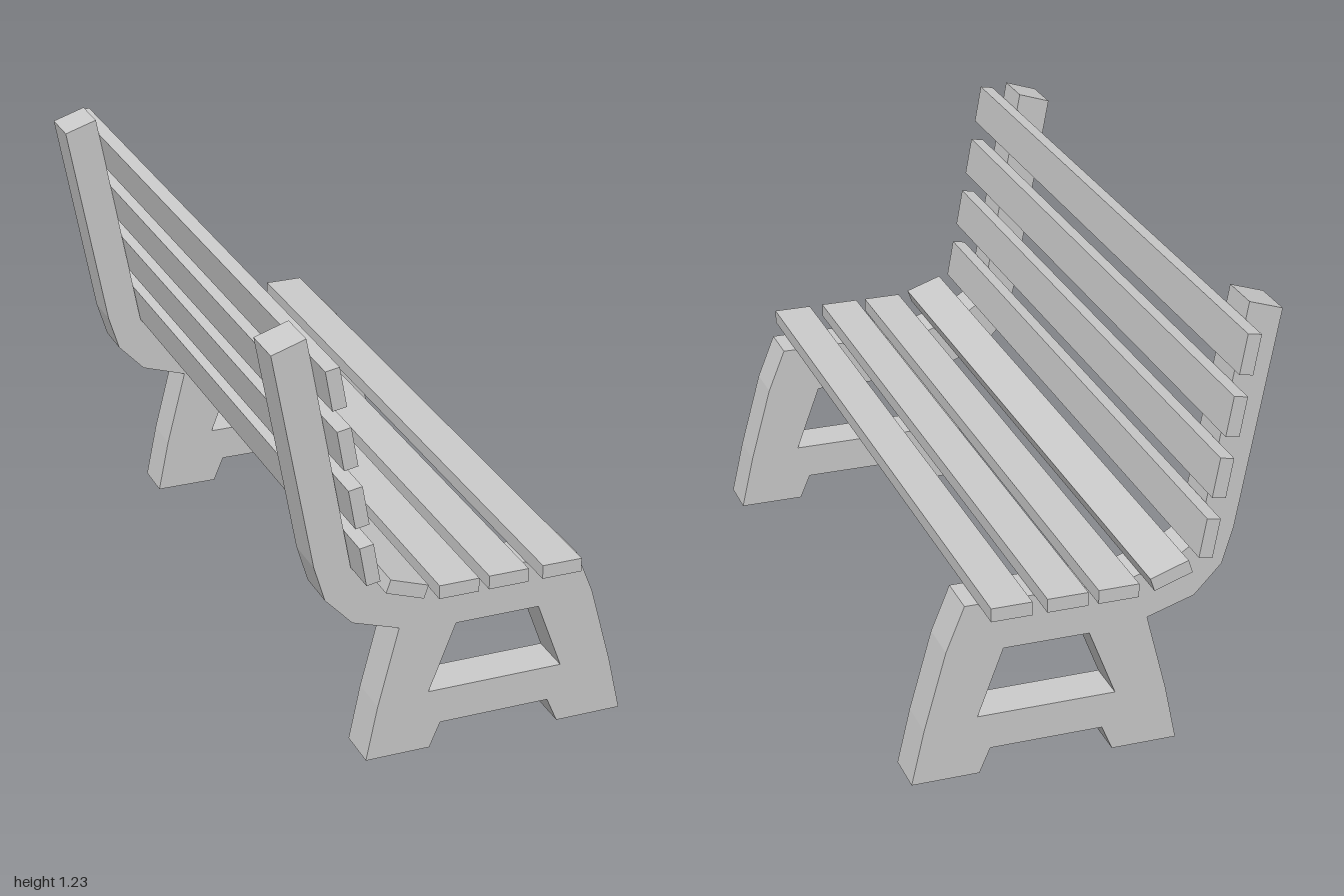
import * as THREE from 'three';

const toPoints = (list) => list.map(([x, y]) => new THREE.Vector2(x, y));

export function createModel() {
  const bench = new THREE.Group();
  bench.name = 'bench';
  const material = new THREE.MeshStandardMaterial({ color: 0xcccccc, flatShading: true });

  // End frame: A-shaped leg with crossbar, running up into the leaning back post
  const outline = new THREE.Shape(toPoints([
    [-0.24, 0], [-0.06, 0], [-0.03, 0.07], [0.28, 0.07], [0.31, 0], [0.495, 0],
    [0.46, 0.155], [0.4, 0.375], [0.35, 0.5], [-0.1, 0.5], [-0.235, 0.547],
    [-0.285, 0.58], [-0.403, 1.23], [-0.495, 1.2], [-0.385, 0.6],
    [-0.355, 0.5], [-0.28, 0.42], [-0.15, 0.378], [-0.208, 0.155],
  ]));
  outline.holes.push(new THREE.Path(toPoints([
    [-0.065, 0.17], [0.01, 0.36], [0.245, 0.36], [0.315, 0.17],
  ])));
  const depth = 0.12;
  const frameGeometry = new THREE.ExtrudeGeometry(outline, { depth, bevelEnabled: false });
  frameGeometry.translate(0, 0, -depth / 2);
  for (const [name, z] of [['rightEndFrame', 0.84], ['leftEndFrame', -0.84]]) {
    const frame = new THREE.Mesh(frameGeometry, material);
    frame.name = name;
    frame.position.z = z;
    bench.add(frame);
  }

  // Slats: one long plank reused for seat and backrest
  const plank = new THREE.BoxGeometry(0.11, 0.038, 2);
  function addSlat(name, x, y, degrees) {
    const slat = new THREE.Mesh(plank, material);
    slat.name = name;
    slat.position.set(x, y, 0);
    slat.rotation.z = THREE.MathUtils.degToRad(degrees);
    bench.add(slat);
  }

  // Seat: three flat slats and a tilted one at the rear
  [-0.029, 0.109, 0.259].forEach((x, i) => addSlat(`seatSlat${i + 1}`, x, 0.52, 0));
  addSlat('rearSeatSlat', -0.172, 0.547, -19);

  // Backrest: four slats along the front of the posts
  for (let i = 0; i < 4; i++) {
    addSlat(`backSlat${i + 1}`, -0.274 - i * 0.0305, 0.636 + i * 0.1655, 100);
  }

  return bench;
}
